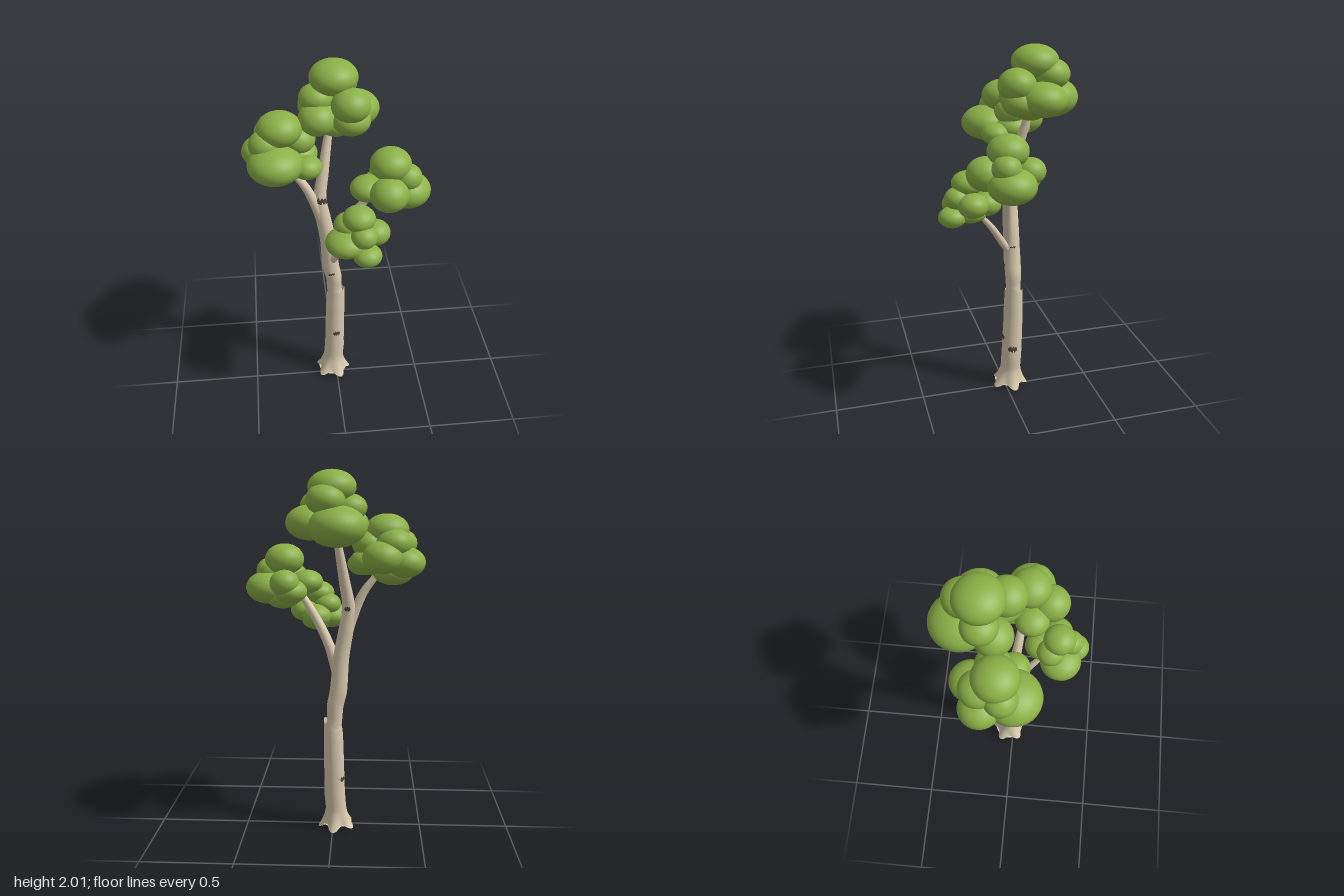
import * as THREE from 'three';

const bark = new THREE.MeshStandardMaterial({ color: 0xd8caae });
bark.name = 'paleBark';
bark.side = THREE.DoubleSide;
const scar = new THREE.MeshStandardMaterial({ color: 0x4a4238 });
scar.name = 'darkScar';
scar.side = THREE.DoubleSide;
const leaf = new THREE.MeshStandardMaterial({ color: 0x8bb147 });
leaf.name = 'leafGreen';

// Indexed grid surface; point(u, v) gives each vertex, closed wraps v around
function gridGeometry(rows, cols, closed, point) {
  const pos = [], index = [], n = closed ? cols : cols + 1;
  for (let j = 0; j <= rows; j++)
    for (let i = 0; i < n; i++) pos.push(...point(j / rows, i / cols).toArray());
  for (let j = 0; j < rows; j++)
    for (let i = 0; i < cols; i++) {
      const a = j * n + i, b = j * n + (i + 1) % n;
      index.push(a, a + n, b, b, a + n, b + n);
    }
  const g = new THREE.BufferGeometry();
  g.setAttribute('position', new THREE.Float32BufferAttribute(pos, 3));
  g.setIndex(index);
  g.computeVertexNormals();
  return g;
}

// Tapered limb through [x, y, z, radius] stations; returns its surface function
function limb(stations) {
  const curve = new THREE.CatmullRomCurve3(stations.map(s => new THREE.Vector3(s[0], s[1], s[2])));
  const last = stations.length - 1;
  const surface = (u, angle, k = 1) => {
    const c = curve.getPoint(u), t = curve.getTangent(u);
    const n = new THREE.Vector3(1, 0, 0).addScaledVector(t, -t.x).normalize();
    const b = new THREE.Vector3().crossVectors(n, t);
    const i = Math.min(Math.floor(u * last), last - 1);
    const r = THREE.MathUtils.lerp(stations[i][3], stations[i + 1][3], u * last - i) * k;
    return c.addScaledVector(n, r * Math.cos(angle)).addScaledVector(b, r * Math.sin(angle));
  };
  return { curve, surface };
}

const TAU = Math.PI * 2;

function limbMesh(name, l, rows = 24, sides = 16) {
  const mesh = new THREE.Mesh(gridGeometry(rows, sides, true, (u, v) => l.surface(u, v * TAU)), bark);
  mesh.name = name;
  return mesh;
}

// Thin ragged scar wrapped on a limb at height y, facing the given angle
function scarMesh(l, y, angle, width, height) {
  let lo = 0, hi = 1;
  for (let i = 0; i < 25; i++) {
    const mid = (lo + hi) / 2;
    if (l.curve.getPoint(mid).y < y) lo = mid; else hi = mid;
  }
  const du = height / l.curve.getTangent(lo).y / l.curve.getLength();
  const geo = gridGeometry(1, 10, false, (u, v) => {
    const i = Math.round(v * 10);
    const ragged = (i % 10 === 0 ? 0.15 : 0.7 + 0.3 * Math.sin(i * 2.7 + u * 2));
    const shift = 0.25 * Math.sin(i * 1.9);
    return l.surface(lo + du * ((u - 0.5) * ragged + shift * 0.5), angle + (v - 0.5) * width, 1.05);
  });
  const mesh = new THREE.Mesh(geo, scar);
  mesh.name = 'barkScar';
  return mesh;
}

// Each puff: x, y, z, horizontal radius, vertical radius
const crowns = {
  topCrown: [
    [0, 1.913, -0.157, 0.125, 0.087], [-0.03, 1.72, -0.25, 0.15, 0.105],
    [0.113, 1.735, -0.17, 0.125, 0.09], [0.03, 1.85, -0.235, 0.1, 0.08],
    [0.075, 1.81, -0.04, 0.1, 0.085], [-0.09, 1.72, -0.09, 0.1, 0.085],
    [0.01, 1.68, -0.13, 0.1, 0.07], [-0.09, 1.81, -0.15, 0.09, 0.07],
    [0.08, 1.72, -0.06, 0.1, 0.075],
  ],
  rightCrown: [
    [-0.284, 1.69, -0.06, 0.117, 0.087], [-0.315, 1.535, 0.025, 0.143, 0.097],
    [-0.38, 1.53, -0.13, 0.105, 0.08], [-0.26, 1.56, -0.18, 0.105, 0.085],
    [-0.32, 1.63, -0.14, 0.095, 0.075], [-0.155, 1.505, 0.015, 0.08, 0.06],
    [-0.19, 1.62, -0.08, 0.09, 0.075], [-0.32, 1.47, -0.05, 0.11, 0.068],
    [-0.36, 1.62, -0.03, 0.085, 0.075], [-0.19, 1.53, -0.09, 0.1, 0.07],
  ],
  leftCrown: [
    [0.27, 1.525, 0.06, 0.107, 0.085], [0.36, 1.37, 0.062, 0.125, 0.09],
    [0.25, 1.41, 0.17, 0.1, 0.088], [0.26, 1.41, -0.06, 0.08, 0.07],
    [0.15, 1.4, 0.08, 0.09, 0.065], [0.28, 1.325, 0.05, 0.1, 0.07],
    [0.355, 1.46, 0.09, 0.075, 0.07], [0.23, 1.36, -0.03, 0.09, 0.065],
  ],
  frontCrown: [
    [0.09, 1.318, 0.23, 0.085, 0.065], [0.025, 1.185, 0.245, 0.11, 0.07],
    [0.125, 1.15, 0.32, 0.075, 0.055], [0.175, 1.22, 0.22, 0.08, 0.065],
    [0.1, 1.2, 0.13, 0.08, 0.065], [0.11, 1.245, 0.29, 0.068, 0.06],
    [0.04, 1.26, 0.19, 0.075, 0.06], [0.1, 1.16, 0.22, 0.09, 0.055],
  ],
};

export function createModel() {
  const tree = new THREE.Group();
  tree.name = 'tree';

  // Lower trunk with five root lobes and a ragged upper lip
  const lower = limb([
    [-0.022, 0, -0.028, 0.064], [-0.018, 0.1, -0.034, 0.058], [-0.01, 0.2, -0.038, 0.059],
    [-0.006, 0.4, -0.045, 0.056], [-0.003, 0.54, -0.047, 0.054], [0, 0.625, -0.048, 0.05],
  ]);
  const lowerGeo = gridGeometry(50, 40, true, (u, v) => {
    const a = v * TAU, y = lower.curve.getPoint(u).y;
    const flare = Math.max(0, 1 - y / 0.14) ** 2;
    const lobe = Math.cos(5 * a + 0.6);
    const p = lower.surface(u, a, 1 + flare * (0.42 + 0.26 * lobe));
    p.y += flare * 0.012 * (1 - lobe);
    if (u > 0.9) p.y += (u - 0.9) * 10 * (0.02 * Math.cos(a - 0.4) + 0.008 * Math.sin(4 * a));
    return p;
  });
  const lowerTrunk = new THREE.Mesh(lowerGeo, bark);
  lowerTrunk.name = 'lowerTrunk';
  const base = new THREE.Mesh(new THREE.CircleGeometry(0.085, 30), bark);
  base.name = 'trunkBase';
  base.rotation.x = Math.PI / 2;
  base.position.set(-0.022, 0.022, -0.028);
  tree.add(lowerTrunk, base);

  // Upper trunk rising out of the lip into the top crown
  const upper = limb([
    [0, 0.57, -0.048, 0.044], [-0.01, 0.65, -0.048, 0.042], [-0.012, 0.72, -0.048, 0.046],
    [-0.03, 0.81, -0.046, 0.048], [-0.045, 1, -0.043, 0.044], [-0.07, 1.15, -0.044, 0.041],
    [-0.085, 1.27, -0.05, 0.035], [-0.063, 1.42, -0.08, 0.03], [-0.03, 1.62, -0.13, 0.021],
    [-0.01, 1.75, -0.155, 0.014],
  ]);
  tree.add(limbMesh('upperTrunk', upper, 54, 20));

  // Side branches
  const branches = {
    rightBranch: [[-0.062, 1.05, -0.04, 0.025], [-0.105, 1.22, -0.035, 0.028],
      [-0.165, 1.36, -0.035, 0.023], [-0.235, 1.46, -0.04, 0.017], [-0.27, 1.55, -0.05, 0.01]],
    leftBranch: [[-0.035, 0.86, -0.04, 0.024], [0, 1, -0.015, 0.029],
      [0.07, 1.16, 0.01, 0.026], [0.16, 1.31, 0.03, 0.02], [0.25, 1.42, 0.05, 0.012]],
    frontBranch: [[-0.03, 0.84, -0.04, 0.02], [-0.005, 0.92, 0.015, 0.021],
      [0.035, 1.03, 0.085, 0.018], [0.08, 1.13, 0.165, 0.013], [0.1, 1.18, 0.21, 0.01]],
  };
  for (const [name, stations] of Object.entries(branches)) tree.add(limbMesh(name, limb(stations)));

  // Bark scars; an angle of 90 degrees faces the front
  const marks = [
    [lower, 0.325, 85, 0.7, 0.022], [lower, 0.26, 10, 0.9, 0.026], [lower, 0.3, 215, 0.6, 0.02],
    [upper, 0.78, 95, 0.8, 0.024], [upper, 0.89, 5, 0.7, 0.008], [upper, 1.265, 85, 1.9, 0.04],
    [upper, 1.25, 20, 0.9, 0.025], [upper, 1.28, 280, 0.9, 0.03],
  ];
  for (const [l, y, deg, w, h] of marks) tree.add(scarMesh(l, y, deg * Math.PI / 180, w, h));

  // Leaf crowns made of flattened puffs
  const puffGeo = new THREE.SphereGeometry(1, 32, 20);
  for (const [name, puffs] of Object.entries(crowns)) {
    const crown = new THREE.Group();
    crown.name = name;
    for (const [x, y, z, r, h] of puffs) {
      const puff = new THREE.Mesh(puffGeo, leaf);
      puff.name = 'leafPuff';
      puff.position.set(x, y, z);
      puff.scale.set(r, h, r);
      crown.add(puff);
    }
    tree.add(crown);
  }
  return tree;
}
